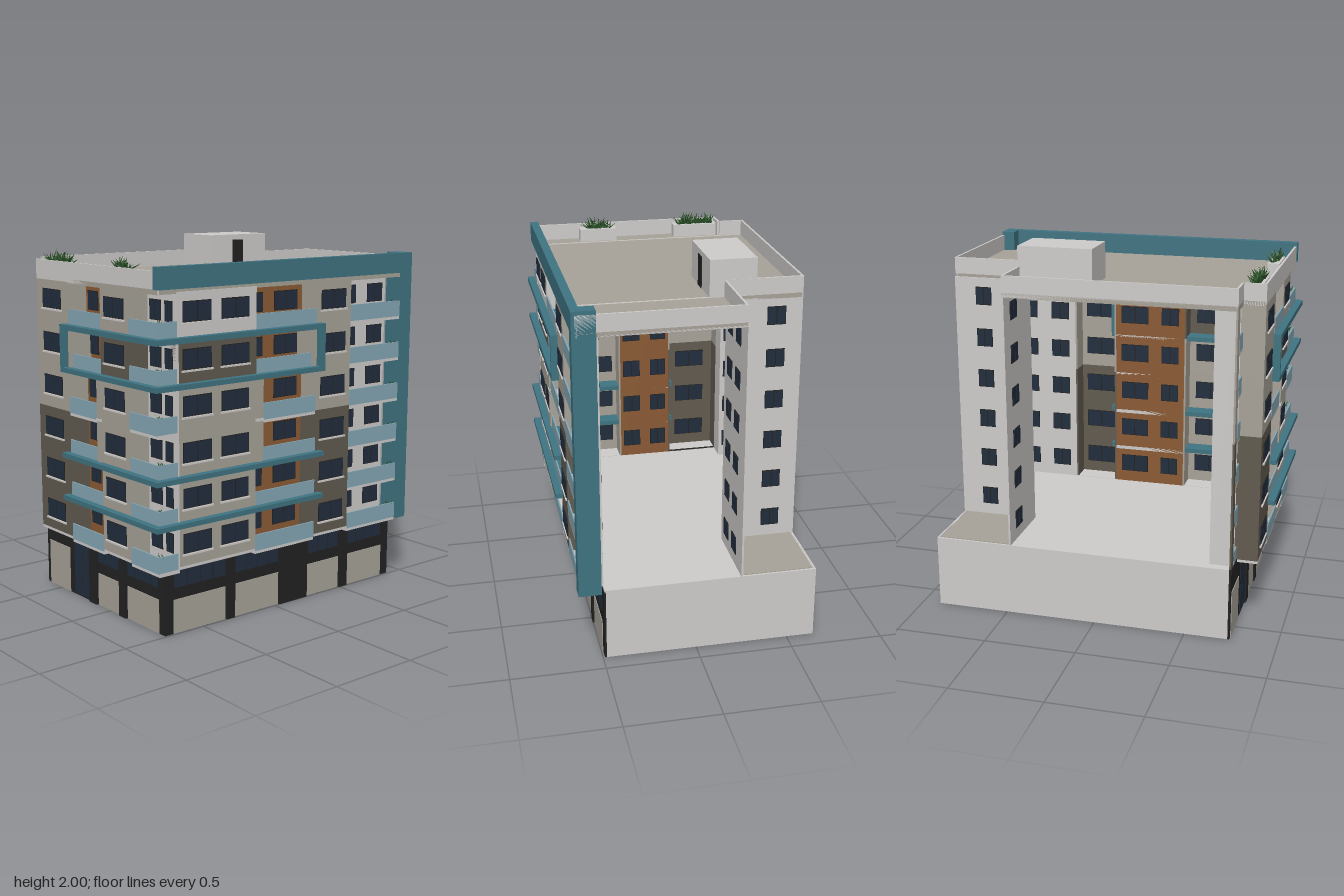
import * as THREE from 'three';
import { mergeGeometries } from 'three/addons/utils/BufferGeometryUtils.js';

const paint = (name, color) => Object.assign(new THREE.MeshStandardMaterial({ color }), { name });

const white = paint('off white', 0xcfcdcb);
const beige = paint('beige render', 0xa8a399);
const dark = paint('dark brown render', 0x625b50);
const orange = paint('orange brown cladding', 0x8b5b35);
const teal = paint('teal trim', 0x3f7482);
const rail = paint('pale blue balustrade', 0x86a8b5);
const navy = paint('window navy', 0x212d3d);
const black = paint('black stone', 0x222222);
const green = paint('leaf green', 0x2f5a2c);
green.side = THREE.DoubleSide;

const FLOORS = 6, STEP = 0.234, T = 0.01;
const level = (k) => 0.39 + STEP * k;
const TOP = 1.785;

// box between two corners
function box(parent, name, mat, x0, x1, y0, y1, z0, z1) {
  const m = new THREE.Mesh(new THREE.BoxGeometry(x1 - x0, y1 - y0, z1 - z0), mat);
  m.position.set((x0 + x1) / 2, (y0 + y1) / 2, (z0 + z1) / 2);
  m.name = name;
  parent.add(m);
  return m;
}

function group(parent, name, turn = 0) {
  const g = new THREE.Group();
  g.name = name;
  g.rotation.y = turn;
  parent.add(g);
  return g;
}

// window of several panes in a dark frame, set through a wall whose outer face is at d
function windowAt(g, u0, u1, y0, y1, d, panes = 2) {
  box(g, 'windowFrame', black, u0, u1, y0, y1, d - T - 0.003, d + 0.003);
  const w = (u1 - u0) / panes;
  for (let i = 0; i < panes; i++)
    box(g, 'windowPane', navy, u0 + i * w + 0.003, u0 + (i + 1) * w - 0.003, y0 + 0.004, y1 - 0.004, d - T - 0.005, d + 0.005);
}

// projecting bay: front panel, two side returns, windows and sills on each floor
function bay(parent, name, u0, u1, dIn, dOut, colours, windows) {
  const g = group(parent, name);
  for (let k = 0; k < FLOORS; k++) {
    const y0 = k ? level(k) : 0.4, y1 = k === FLOORS - 1 ? TOP : level(k + 1), m = colours[k];
    box(g, 'bayWall', m, u0, u1, y0, y1, dOut - T, dOut);
    box(g, 'baySide', m, u0, u0 + T, y0, y1, dIn - T, dOut - T);
    box(g, 'baySide', m, u1 - T, u1, y0, y1, dIn - T, dOut - T);
    for (const [a, b] of windows) {
      const w = level(k) + 0.075;
      windowAt(g, a, b, w, w + 0.103, dOut);
      box(g, 'sill', white, a - 0.008, b + 0.008, w - 0.012, w - 0.003, dOut, dOut + 0.009);
    }
  }
  box(g, 'bayFloor', white, u0, u1, 0.385, 0.4, dIn - T, dOut);
}

// recessed balcony column: back wall, windows, slabs and balustrades
function balconies(parent, name, u0, u1, dIn, dOut, mat, windows, railSpan = () => [u0, u1]) {
  const g = group(parent, name);
  box(g, 'balconyWall', mat, u0, u1, 0.38, TOP, dIn - T, dIn);
  for (let k = 0; k < FLOORS; k++) {
    const y = level(k), [a, b] = railSpan(k);
    box(g, 'balconySlab', white, u0, u1, y - 0.02, y, dIn - T, dOut);
    box(g, 'balustrade', rail, a, b, y - 0.004, y + 0.084, dOut - 0.006, dOut + 0.002);
    for (const [p, q] of windows) windowAt(g, p, q, y + 0.075, y + 0.178, dIn);
  }
}

// seeded tuft of pointed leaves spread over a length
function tuft(parent, x, y, z, length, height, count, seed) {
  let s = seed;
  const rnd = () => ((s = (s * 16807) % 2147483647) / 2147483647);
  const leaves = [];
  for (let i = 0; i < count; i++) {
    const h = height * (0.6 + 0.5 * rnd());
    const leaf = new THREE.ConeGeometry(height * 0.13, h, 3, 1, true);
    leaf.scale(1, 1, 0.35).translate(0, h / 2, 0);
    leaf.rotateY(rnd() * 3).rotateZ((rnd() - 0.5) * 1.9).rotateX((rnd() - 0.5) * 1.7);
    leaf.translate((rnd() - 0.5) * length, 0, (rnd() - 0.5) * height * 0.3);
    leaves.push(leaf);
  }
  const m = new THREE.Mesh(mergeGeometries(leaves), green);
  m.position.set(x, y, z);
  m.name = 'plant';
  parent.add(m);
}

// ground floor shop front: [u0, u1, top] panels and [u0, u1, y0, y1, panes] glazing
function shopFront(g, u0, u1, d, panels, glazing, piers) {
  box(g, 'shopWall', black, u0, u1, 0, 0.385, d - T, d);
  for (const [a, b, h] of panels) box(g, 'shutter', beige, a, b, 0.002, h, d - T - 0.004, d + 0.004);
  for (const [a, b, y0, y1, n] of glazing) windowAt(g, a, b, y0, y1, d, n);
  for (const [a, b] of piers) box(g, 'pier', black, a, b, 0, 0.375, d, d + 0.012);
}

export function createModel() {
  const model = new THREE.Group();
  model.name = 'apartmentBlock';

  // podium, open underneath
  const podium = group(model, 'podium');
  box(podium, 'podiumLeftWall', white, -0.65, -0.64, 0, 0.4, -0.9, 0.735);
  box(podium, 'podiumBackWall', white, -0.64, 0.48, 0, 0.4, -0.9, -0.89);
  box(podium, 'podiumSlab', white, -0.64, 0.485, 0.375, 0.398, -0.89, 0.74);
  box(podium, 'backTerrace', beige, -0.635, -0.25, 0.398, 0.402, -0.885, -0.48);

  // the two street sides; the side street one is turned so that u = -z and d = x
  const front = group(model, 'frontFacade');
  const side = group(model, 'leftFacade', Math.PI / 2);
  shopFront(front, -0.65, 0.49, 0.745,
    [[-0.62, -0.41, 0.26], [-0.12, 0.085, 0.185], [0.16, 0.44, 0.185]],
    [[-0.36, -0.2, 0.005, 0.365, 2], [-0.12, 0.085, 0.245, 0.36, 3], [0.16, 0.44, 0.245, 0.36, 4]],
    [[-0.2, -0.13], [0.09, 0.15]]);
  shopFront(side, -0.745, 0.9, 0.49,
    [[-0.69, -0.345, 0.185], [-0.28, 0.03, 0.185], [0.25, 0.49, 0.185], [0.56, 0.84, 0.185]],
    [[-0.69, -0.345, 0.245, 0.36, 4], [-0.28, 0.03, 0.245, 0.36, 4], [0.25, 0.485, 0.245, 0.36, 3], [0.56, 0.835, 0.245, 0.36, 4]],
    [[-0.34, -0.285], [0.035, 0.24], [0.495, 0.555]]);
  box(front, 'shopCornice', black, -0.65, -0.19, 0.375, 0.402, 0.735, 0.75);

  const lowDark = [dark, dark, dark, beige, beige, beige];
  const ringDark = [beige, beige, beige, beige, dark, beige];
  const ringDarkWhiteTop = [beige, beige, beige, beige, dark, white];

  // front side, from its far end to the corner
  box(front, 'endWallLower', dark, -0.65, -0.59, 0.4, level(3), 0.735, 0.745);
  box(front, 'endWallUpper', beige, -0.65, -0.59, level(3), TOP, 0.735, 0.745);
  box(front, 'recessSide', white, -0.6, -0.59, 0.4, TOP, 0.62, 0.735);
  box(front, 'recessSide', white, -0.505, -0.495, 0.4, TOP, 0.62, 0.735);
  balconies(front, 'narrowBalconies', -0.59, -0.505, 0.63, 0.745, white, [[-0.575, -0.515]]);
  bay(front, 'endBay', -0.505, -0.19, 0.745, 0.86, lowDark, [[-0.44, -0.26]]);
  balconies(front, 'middleBalconies', -0.19, 0.112, 0.745, 0.86, orange, [[-0.17, -0.075], [-0.01, 0.095]],
    (k) => (k === 2 || k === 3 ? [-0.19, 0.078] : k === 4 ? [-0.15, 0.112] : [-0.19, 0.112]));
  bay(front, 'cornerBay', 0.112, 0.365, 0.745, 0.86, ringDark, [[0.147, 0.322]]);
  balconies(front, 'cornerBalconies', 0.365, 0.607, 0.745, 0.86, white, [[0.385, 0.48], [0.51, 0.572]]);

  // side street
  bay(side, 'cornerBay', -0.745, -0.235, 0.49, 0.605, ringDarkWhiteTop, [[-0.71, -0.53], [-0.465, -0.285]]);
  balconies(side, 'middleBalconies', -0.235, 0.185, 0.49, 0.605, orange, [[-0.2, -0.095], [-0.015, 0.15]],
    (k) => (k === 2 || k === 3 ? [-0.19, 0.185] : k === 4 ? [-0.235, 0.15] : [-0.235, 0.185]));
  bay(side, 'endBay', 0.185, 0.44, 0.49, 0.605, lowDark, [[0.22, 0.4]]);
  balconies(side, 'endBalconies', 0.44, 0.825, 0.49, 0.605, white, [[0.48, 0.59], [0.68, 0.8]]);
  for (let k = 0; k < FLOORS; k++)
    box(side, 'cornerBalustrade', rail, -0.86, -0.745, level(k) - 0.004, level(k) + 0.084, 0.599, 0.607);

  // privacy fins beside the middle balconies
  for (const [g, a, b, c, e, d] of [[front, 0.08, 0.112, -0.19, -0.152, 0.745], [side, -0.235, -0.192, 0.152, 0.185, 0.49]]) {
    box(g, 'tallFin', beige, a, b, 0.865, 1.315, d, d + 0.125);
    box(g, 'tallFinBand', white, a - 0.002, b, 1.085, 1.1, d, d + 0.128);
    box(g, 'ringFin', beige, c, e, 1.33, 1.54, d, d + 0.12);
  }

  // teal ledges wrapping the corner, the upper pair closed into a frame by end posts
  const trim = group(model, 'tealTrim');
  for (const [y0, y1] of [[0.61, 0.636], [0.844, 0.87], [1.31, 1.336], [1.537, 1.565]]) {
    box(trim, 'frontLedge', teal, -0.217, 0.645, y0, y1, 0.75, 0.9);
    box(trim, 'sideLedge', teal, 0.495, 0.645, y0, y1, -0.217, 0.75);
  }
  box(trim, 'framePost', teal, -0.217, -0.191, 1.336, 1.537, 0.75, 0.9);
  box(trim, 'framePost', teal, 0.495, 0.645, 1.336, 1.537, -0.217, -0.191);
  box(trim, 'cornerColumn', teal, 0.5, 0.62, 0.38, 1.91, -0.9, -0.825);
  box(trim, 'roofBand', teal, 0.575, 0.62, 1.8, 1.91, -0.825, 0.865);

  // inner corner walls at the back
  const back = group(model, 'backWalls');
  box(back, 'backWall', white, -0.65, -0.24, 0.4, TOP, -0.48, -0.47);
  const backSide = group(back, 'backSideWall', Math.PI / 2);
  box(backSide, 'backWall', white, 0.48, 0.9, 0.4, TOP, -0.25, -0.24);
  for (let k = 0; k < FLOORS; k++) {
    const y = level(k) + 0.075;
    windowAt(back, -0.56, -0.46, y, y + 0.1, -0.47);
    windowAt(backSide, 0.53, 0.62, y, y + 0.1, -0.24);
    windowAt(backSide, 0.69, 0.78, y, y + 0.1, -0.24);
  }

  // roof deck with a notch, and a parapet along its outline
  const roof = group(model, 'roof');
  const outline = [[-0.65, -0.48], [-0.24, -0.48], [-0.24, -0.9], [0.603, -0.9], [0.603, 0.86], [-0.505, 0.86], [-0.505, 0.745], [-0.65, 0.745]];
  const shape = new THREE.Shape(outline.map(([x, z]) => new THREE.Vector2(x, -z)));
  const deck = new THREE.Mesh(new THREE.ExtrudeGeometry(shape, { depth: 0.025, bevelEnabled: false }), beige);
  deck.rotation.x = -Math.PI / 2;
  deck.position.y = 1.776;
  deck.name = 'roofDeck';
  roof.add(deck);
  const P = 0.012;
  outline.forEach(([x, z], i) => {
    const [x2, z2] = outline[(i + 1) % outline.length];
    // the deck lies to the right of travel, so the wall thickness is added on that side
    const dx = Math.sign(x2 - x), dz = Math.sign(z2 - z);
    const xs = [x, x2, x - dz * P, x2 - dz * P], zs = [z, z2, z + dx * P, z2 + dx * P];
    box(roof, 'parapet', white, Math.min(...xs), Math.max(...xs), 1.778, 1.89, Math.min(...zs), Math.max(...zs));
  });
  box(roof, 'deckJoint', white, -0.638, 0.575, 1.8, 1.803, -0.477, -0.465);
  box(roof, 'deckJoint', white, -0.505, 0.575, 1.8, 1.803, 0.733, 0.745);

  // roof stair hut
  box(roof, 'stairHut', white, -0.4, -0.15, 1.8, 2, -0.478, -0.07);
  box(roof, 'stairHutDoor', black, -0.15, -0.146, 1.801, 1.97, -0.305, -0.23);

  // roof planters and balcony plants
  const garden = group(model, 'plants');
  for (const [x0, x1, xp, len, seed] of [[-0.49, -0.23, -0.365, 0.2, 7], [0.12, 0.335, 0.22, 0.13, 23]]) {
    box(garden, 'planter', white, x0, x1, 1.8, 1.872, 0.765, 0.83);
    tuft(garden, xp, 1.868, 0.795, len, 0.075, Math.round(len * 400), seed);
  }
  for (let k = 0; k < FLOORS; k++) {
    const y = level(k) + 0.07;
    tuft(garden, 0.585, y, 0.835, 0.03, 0.034, 9, 31 + k);
    tuft(garden, 0.585, y, -0.8, 0.03, 0.034, 9, 61 + k);
  }
  return model;
}
